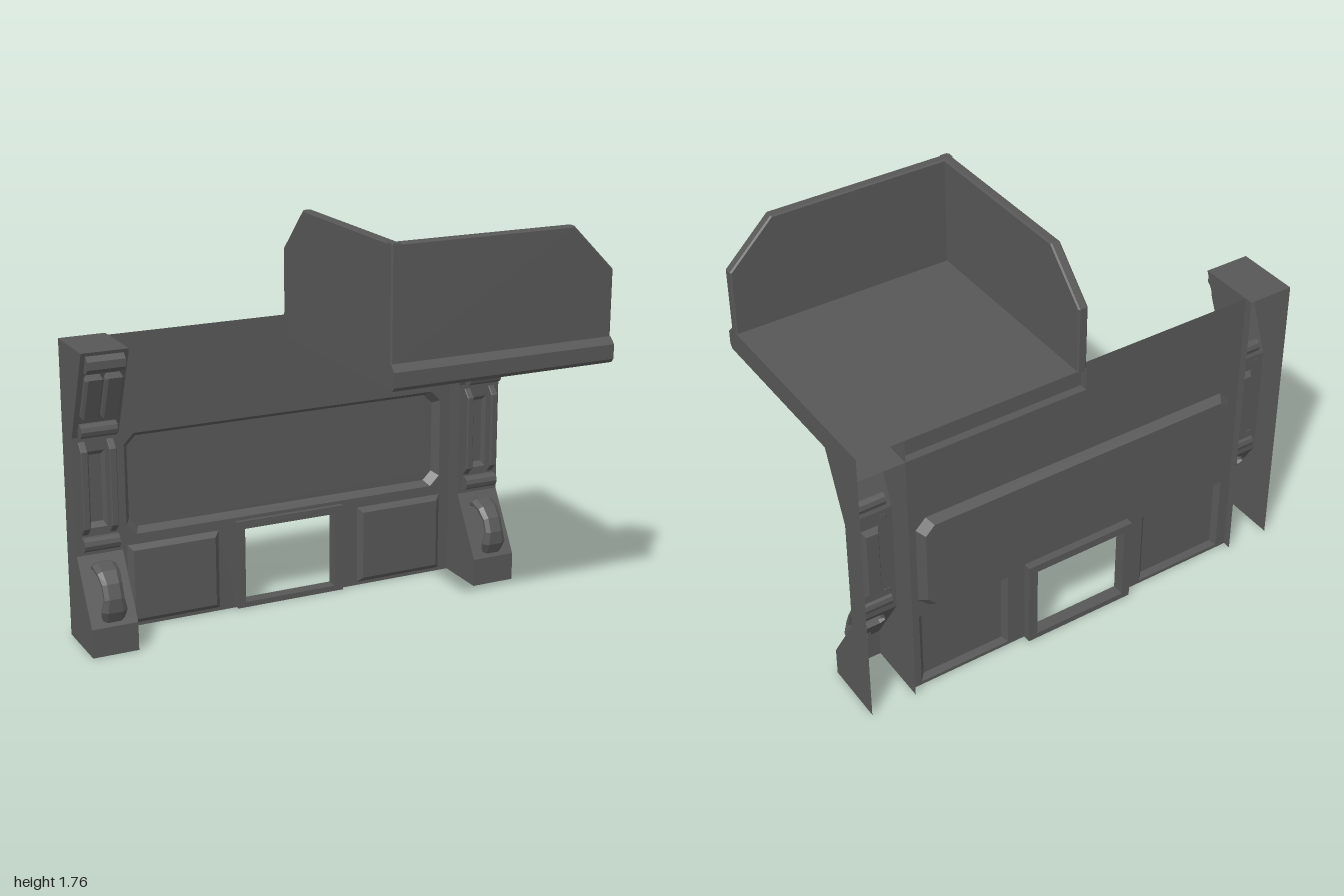
import * as THREE from 'three';

const material = new THREE.MeshStandardMaterial({ color: 0x575757, flatShading: true, side: THREE.DoubleSide });

function add(parent, name, geometry) {
  const mesh = new THREE.Mesh(geometry, material);
  mesh.name = name;
  parent.add(mesh);
}

const toShape = (pts) => new THREE.Shape(pts.map(([a, b]) => new THREE.Vector2(a, b)));

// Skin between successive rows of [x, y, z] points
function loft(rows, closed) {
  const n = rows[0].length, index = [];
  for (let r = 0; r < rows.length - 1; r++) {
    for (let i = 0; i < (closed ? n : n - 1); i++) {
      const a = r * n + i, b = r * n + (i + 1) % n;
      index.push(a, b, b + n, a, b + n, a + n);
    }
  }
  const g = new THREE.BufferGeometry();
  g.setAttribute('position', new THREE.Float32BufferAttribute(rows.flat(2), 3));
  g.setIndex(index);
  g.computeVertexNormals();
  return g;
}

// Solid from a [z, y] outline, running from x0 to x1
function extrudeX(pts, x0, x1, bevel = 0) {
  const g = new THREE.ExtrudeGeometry(toShape(pts.map(([z, y]) => [-z, y])), {
    depth: x1 - x0 - 2 * bevel, bevelEnabled: bevel > 0, bevelThickness: bevel,
    bevelSize: bevel, bevelOffset: -bevel, bevelSegments: 1
  });
  return g.translate(0, 0, x0 + bevel).rotateY(Math.PI / 2);
}

// Hollow shell: two side sheets plus strips along the [z, y] profile, leaving skipped segments open
function shell(parent, name, profile, x0, x1, skip = []) {
  for (const x of [x0, x1]) {
    const side = new THREE.ShapeGeometry(toShape(profile.map(([z, y]) => [-z, y])));
    add(parent, name + 'Side', side.rotateY(Math.PI / 2).translate(x, 0, 0));
  }
  for (let i = 0; i < profile.length - 1; i++) {
    if (skip.includes(i)) continue;
    const row = (x) => [profile[i], profile[i + 1]].map(([z, y]) => [x, y, z]);
    add(parent, name + 'Face', loft([row(x0), row(x1)], false));
  }
}

const rect = (x0, y0, x1, y1) => [[x0, y0], [x1, y0], [x1, y1], [x0, y1]];
const octagon = (x, y0, y1, c) => [[-x + c, y0], [x - c, y0], [x, y0 + c], [x, y1 - c],
  [x - c, y1], [-x + c, y1], [-x, y1 - c], [-x, y0 + c]];

// Sloped rim and flat floor: a recess or a raised panel depending on z
function tray(parent, name, outer, inner, z0, z1) {
  const at = (pts, z) => pts.map(([x, y]) => [x, y, z]);
  add(parent, name + 'Rim', loft([at(outer, z0), at(inner, z1)], true));
  add(parent, name + 'Face', new THREE.ShapeGeometry(toShape(inner)).translate(0, 0, z1));
}

function createWall() {
  const wall = new THREE.Group();
  wall.name = 'wall';
  const Z = -0.465;

  // Main sheet with a doorway notch and panel openings
  const sheet = toShape([[-0.8, 0], [-0.25, 0], [-0.25, 0.4], [0.25, 0.4], [0.25, 0], [0.8, 0], [0.8, 1.29], [-0.8, 1.29]]);
  const big = octagon(0.75, 0.415, 0.86, 0.045);
  sheet.holes.push(toShape(big));
  tray(wall, 'upperRecess', big, octagon(0.726, 0.437, 0.838, 0.04), Z, -0.5);

  for (const s of [-1, 1]) {
    const c = s * 0.5425;
    const outer = rect(c - 0.208, 0.015, c + 0.208, 0.37);
    sheet.holes.push(toShape(outer));
    tray(wall, 'lowerPanel', outer, rect(c - 0.186, 0.037, c + 0.186, 0.348), Z, -0.445);
  }
  add(wall, 'wallSheet', new THREE.ShapeGeometry(sheet).translate(0, 0, Z));

  // Frame around the opening
  const frame = toShape(rect(-0.255, 0, 0.255, 0.4));
  frame.holes.push(toShape(rect(-0.218, 0.025, 0.214, 0.365)));
  add(wall, 'openingFrame', new THREE.ExtrudeGeometry(frame, { depth: 0.055, bevelEnabled: false }).translate(0, 0, -0.5));
  return wall;
}

function createPillar() {
  const pillar = new THREE.Group();
  pillar.name = 'pillar';
  const F = -0.38;
  // Body, open at the back and underneath
  shell(pillar, 'pillar', [[-0.22, 0], [-0.22, 0.125], [F, 0.39], [F, 0.9], [-0.22, 1.29],
    [-0.5, 1.29], [-0.5, 0]], -0.1, 0.1, [2, 5]);

  // Middle face with a recessed slot
  const face = toShape(rect(-0.1, 0.39, 0.1, 0.9));
  const slot = rect(-0.038, 0.505, 0.038, 0.835);
  face.holes.push(toShape(slot));
  add(pillar, 'middleFace', new THREE.ShapeGeometry(face).translate(0, 0, F));
  tray(pillar, 'slot', slot, rect(-0.026, 0.525, 0.026, 0.815), F, F - 0.02);

  // Cap moulding
  add(pillar, 'capMoulding', extrudeX([[-0.257, 1.2], [-0.225, 1.203], [-0.205, 1.222], [-0.205, 1.255], [-0.226, 1.275]], -0.08, 0.08));

  // Twin sloping slabs and side handle bars
  for (const s of [-1, 1]) {
    const c = s * 0.042;
    add(pillar, 'slopingSlab', extrudeX([[-0.339, 1.0], [-0.30, 0.99], [-0.222, 1.175], [-0.26, 1.19]], c - 0.039, c + 0.039, 0.01));
    const b = s * 0.061;
    add(pillar, 'handleBar', extrudeX([[-0.382, 0.48], [-0.375, 0.48], [-0.342, 0.515], [-0.342, 0.845], [-0.375, 0.88],
      [-0.382, 0.88], [-0.382, 0.858], [-0.361, 0.832], [-0.361, 0.528], [-0.382, 0.502]], b - 0.015, b + 0.015, 0.003));
  }

  // Round mouldings above and below the bars
  for (const [y, z] of [[0.935, -0.35], [0.443, -0.365]]) {
    const roll = new THREE.CylinderGeometry(0.031, 0.031, 0.155, 10).rotateZ(Math.PI / 2);
    add(pillar, 'roll', roll.translate(0, y, z));
  }

  // Arched scroll on the lower slope: [z, y, half width] along its path
  const path = [[-0.37, 0.338, 0.052], [-0.33, 0.352, 0.052], [-0.28, 0.336, 0.049], [-0.243, 0.298, 0.043],
    [-0.222, 0.245, 0.043], [-0.222, 0.195, 0.055], [-0.243, 0.15, 0.047]];
  const rows = path.map(([z, y, w], i) => {
    const p = path[Math.max(i - 1, 0)], q = path[Math.min(i + 1, path.length - 1)];
    const l = Math.hypot(q[0] - p[0], q[1] - p[1]);
    const nz = -(q[1] - p[1]) / l, ny = (q[0] - p[0]) / l;
    return [[-1, -0.4], [-1, 0.3], [-0.6, 1], [0.6, 1], [1, 0.3], [1, -0.4], [0.6, -1], [-0.6, -1]]
      .map(([a, b]) => [a * w, y + ny * b * 0.019, z + nz * b * 0.019]);
  });
  add(pillar, 'archedScroll', loft(rows, true));
  return pillar;
}

function createBalcony() {
  const balcony = new THREE.Group();
  balcony.name = 'balcony';
  // Floor with a chamfered front lip, open at the back
  shell(balcony, 'floor', [[-0.5, 1.19], [0.485, 1.19], [0.5, 1.207], [0.5, 1.268], [0.472, 1.295], [0.43, 1.29], [-0.5, 1.29]], 0, 1);

  // Parapets, each with a clipped top corner
  const options = { depth: 0.03, bevelEnabled: true, bevelThickness: 0.006, bevelSize: 0.006, bevelOffset: -0.006, bevelSegments: 1 };
  const outline = (len) => toShape([[0, 1.28], [len, 1.28], [len, 1.57], [len - 0.19, 1.76], [0, 1.76]]);
  add(balcony, 'frontParapet', new THREE.ExtrudeGeometry(outline(1), options).translate(0, 0, 0.436));
  const side = new THREE.ExtrudeGeometry(outline(0.972), options);
  add(balcony, 'sideParapet', side.rotateY(Math.PI / 2).translate(0.006, 0, 0.472));
  return balcony;
}

export function createModel() {
  const model = new THREE.Group();
  model.name = 'wallWithBalcony';
  model.add(createWall());
  for (const s of [-1, 1]) {
    const pillar = createPillar();
    pillar.name = s < 0 ? 'rightPillar' : 'leftPillar';
    pillar.position.x = s * 0.9;
    model.add(pillar);
  }
  model.add(createBalcony());
  return model;
}
